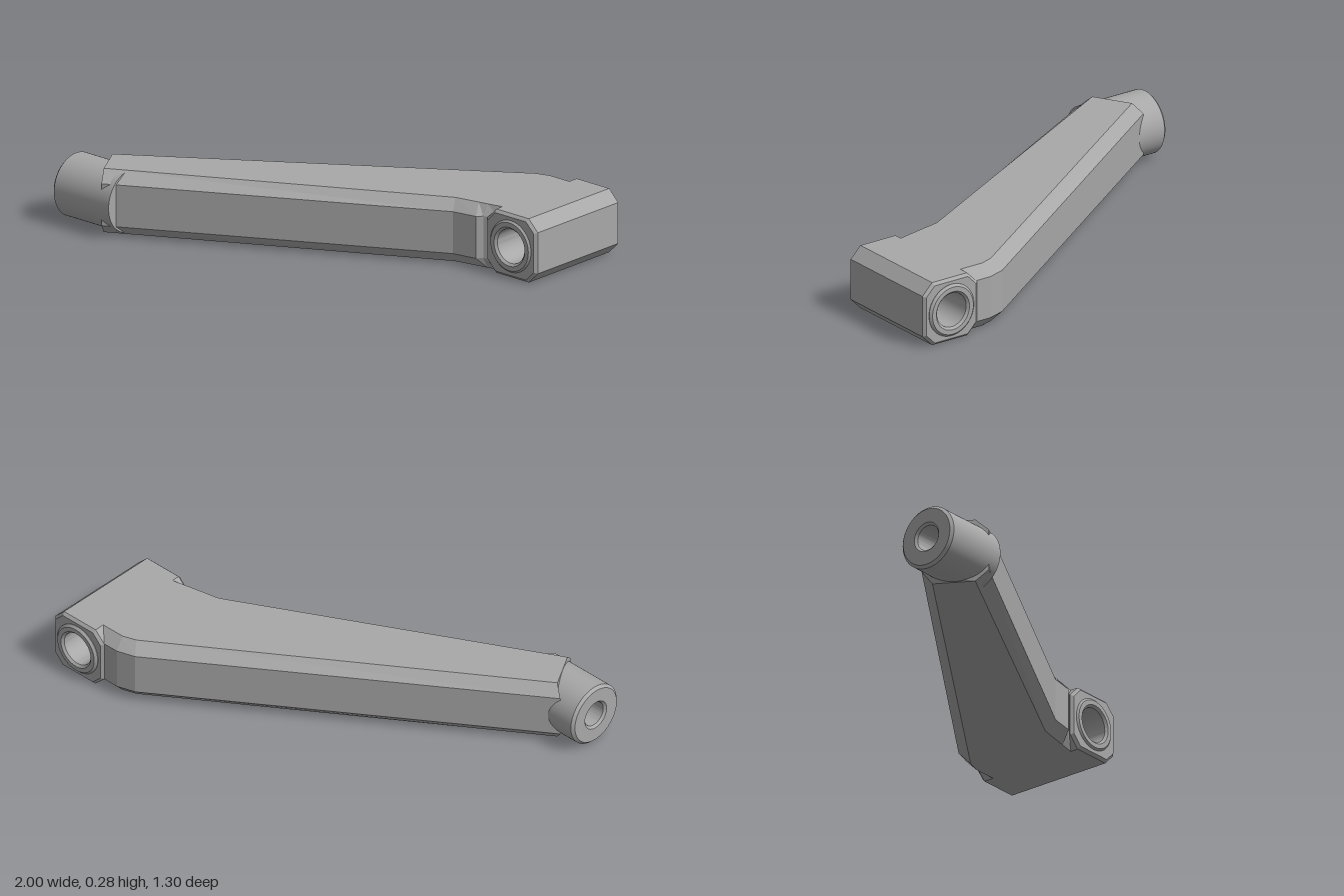
import * as THREE from 'three';
import { toCreasedNormals } from 'three/addons/utils/BufferGeometryUtils.js';

const H = 0.28;        // overall height
const CHAMFER = 0.048; // height of the long chamfers

const steel = new THREE.MeshStandardMaterial({ color: 0xa8a8a8 });
steel.name = 'steel grey';

function addMesh(group, name, geometry) {
  const mesh = new THREE.Mesh(geometry, steel);
  mesh.name = name;
  group.add(mesh);
  return mesh;
}

// Turned part from a closed [radius, height] profile, with sharp corners kept
function turned(profile) {
  const points = profile.map(([r, y]) => new THREE.Vector2(r, y));
  return toCreasedNormals(new THREE.LatheGeometry(points, 64), 0.5);
}

// Chamfered arm lofted through eight-sided sections
function armGeometry() {
  // plan points [x, z]: back side, back top edge, front top edge, front side
  const stations = [
    [[-0.90, 0.405], [-0.86, 0.43], [-0.77, 0.585], [-0.74, 0.633]],
    [[0.57, -0.60], [0.60, -0.56], [0.55, -0.12], [0.57, -0.082]],
    [[0.65, -0.625], [0.66, -0.58], [0.66, -0.142], [0.68, -0.102]],
    [[0.72, -0.625], [0.72, -0.58], [0.70, -0.15], [0.70, -0.125]],
    [[0.77, -0.625], [0.77, -0.58], [0.77, -0.165], [0.77, -0.15]],
  ];
  const rings = stations.map(([ob, tb, tf, of]) => [
    [ob, CHAMFER], [ob, H - CHAMFER], [tb, H], [tf, H],
    [of, H - CHAMFER], [of, CHAMFER], [tf, 0], [tb, 0],
  ].map(([p, y]) => [p[0], y, p[1]]));
  const pos = [];
  const tri = (a, b, c) => pos.push(...a, ...b, ...c);
  for (let i = 0; i < rings.length - 1; i++) {
    for (let j = 0; j < 8; j++) {
      const k = (j + 1) % 8;
      tri(rings[i][j], rings[i][k], rings[i + 1][k]);
      tri(rings[i][j], rings[i + 1][k], rings[i + 1][j]);
    }
  }
  const first = rings[0], last = rings[rings.length - 1];
  for (let j = 1; j < 7; j++) {
    tri(first[0], first[j + 1], first[j]);
    tri(last[0], last[j], last[j + 1]);
  }
  const geometry = new THREE.BufferGeometry();
  geometry.setAttribute('position', new THREE.Float32BufferAttribute(pos, 3));
  geometry.computeVertexNormals();
  return geometry;
}

// Eight-sided block with a bore along z
function blockGeometry(zBack, zFront) {
  const c = 0.05, x0 = 0.72, x1 = 1, bevel = 0.012;
  const shape = new THREE.Shape([
    [x0 + c, 0], [x1 - c, 0], [x1, c], [x1, H - c],
    [x1 - c, H], [x0 + c, H], [x0, H - c], [x0, c],
  ].map(([x, y]) => new THREE.Vector2(x, y)));
  const bore = new THREE.Path();
  bore.absarc(0.86, H / 2, 0.09, 0, Math.PI * 2, true);
  shape.holes.push(bore);
  const geometry = new THREE.ExtrudeGeometry(shape, {
    depth: zFront - zBack - 2 * bevel, curveSegments: 48,
    bevelEnabled: true, bevelSegments: 1,
    bevelSize: bevel, bevelThickness: bevel, bevelOffset: -bevel,
  });
  geometry.translate(0, 0, zBack + bevel);
  return geometry;
}

export function createModel() {
  const group = new THREE.Group();
  group.name = 'crankArm';

  addMesh(group, 'arm', armGeometry());
  addMesh(group, 'pivotBlock', blockGeometry(-0.638, -0.116));

  // Sleeve lining the block bore, standing slightly proud at both ends
  const L = 0.542, e = 0.01;
  const sleeve = addMesh(group, 'pivotSleeve', turned([
    [0.085, 0], [0.105, 0], [0.115, e], [0.115, L - e], [0.105, L],
    [0.085, L], [0.075, L - e], [0.075, e], [0.085, 0],
  ]));
  sleeve.rotation.x = Math.PI / 2;
  sleeve.position.set(0.86, H / 2, -0.65);

  // Round boss with a blind hole in its outer end
  const boss = addMesh(group, 'endBoss', turned([
    [0, 0.14], [0.055, 0.14], [0.055, 0.01], [0.065, 0], [0.125, 0],
    [0.137, 0.012], [0.137, 0.315], [0, 0.315],
  ]));
  boss.rotation.z = -Math.PI / 2;
  boss.position.set(-1, H / 2, 0.513);

  return group;
}
